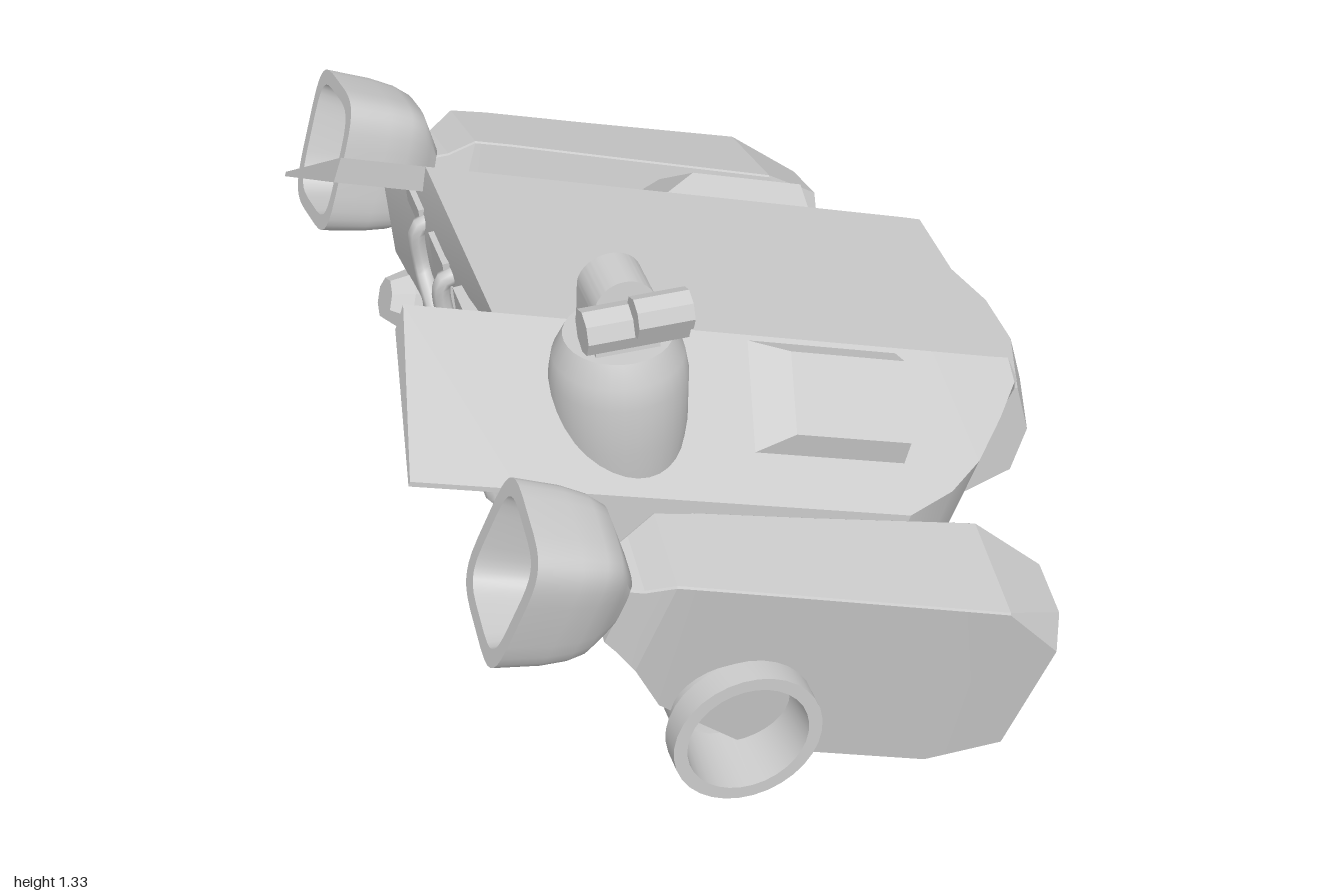
import * as THREE from 'three';
import { toCreasedNormals } from 'three/addons/utils/BufferGeometryUtils.js';

const grey = new THREE.MeshStandardMaterial({ color: 0xcccccc, side: THREE.DoubleSide });

function add(parent, name, geometry, pos = [0, 0, 0], rot = [0, 0, 0]) {
  const mesh = new THREE.Mesh(geometry, grey);
  mesh.name = name;
  mesh.position.set(...pos);
  mesh.rotation.set(...rot);
  parent.add(mesh);
}

// Skin over matching rings of [x, y, z] points, capped at both ends; winding is turned outward.
function loft(rings, crease = 0.05) {
  const tris = [];
  const n = rings[0].length;
  for (let i = 0; i < rings.length - 1; i++) {
    for (let j = 0; j < n; j++) {
      const k = (j + 1) % n;
      const a = rings[i][j], b = rings[i][k], c = rings[i + 1][k], d = rings[i + 1][j];
      tris.push([a, b, c], [a, c, d]);
    }
  }
  const first = rings[0], last = rings[rings.length - 1];
  for (let j = 1; j < n - 1; j++) {
    tris.push([first[0], first[j + 1], first[j]], [last[0], last[j], last[j + 1]]);
  }
  let volume = 0;
  for (const [a, b, c] of tris) {
    volume += a[0] * (b[1] * c[2] - b[2] * c[1]) + a[1] * (b[2] * c[0] - b[0] * c[2]) + a[2] * (b[0] * c[1] - b[1] * c[0]);
  }
  if (volume < 0) tris.forEach((t) => t.reverse());
  const g = new THREE.BufferGeometry();
  g.setAttribute('position', new THREE.Float32BufferAttribute(tris.flat(2), 3));
  return toCreasedNormals(g, crease);
}

// Box-like ring across the x axis with cut upper corners
function boxRing(x, top, bottom, half, cut = 0.004) {
  const side = [[x, top, half - cut], [x, top - cut, half], [x, bottom, half]];
  return [...side, ...side.map(([a, b, c]) => [a, b, -c]).reverse()];
}

// Rounded-square ring across the x axis
function softRect(x, cy, hy, hz) {
  const ring = [];
  for (let i = 0; i < 32; i++) {
    const a = ((i + 0.5) / 32) * Math.PI * 2;
    const p = (t) => Math.sign(t) * Math.pow(Math.abs(t), 0.45);
    ring.push([x, cy + hy * p(Math.sin(a)), hz * p(Math.cos(a))]);
  }
  return ring;
}

function lathe(points, segments, crease = 0.6) {
  const g = new THREE.LatheGeometry(points.map((p) => new THREE.Vector2(...p)), segments);
  return toCreasedNormals(g, crease);
}

function addHull(body) {
  // Half sections: top edge, shoulder on the sloping plane, side, underside
  const shoulder = (x, z) => [x, 0.45 - 0.752 * (z - 0.29), z];
  const halves = [
    [[-0.7, 0.45, 0.29], shoulder(-0.66, 0.6), [-0.58, 0.03, 0.6], [-0.49, -0.06, 0.37]],
    [[0.27, 0.45, 0.29], shoulder(0.27, 0.6), [0.27, 0.03, 0.6], [0.27, -0.07, 0.38]],
    [[0.36, 0.45, 0.29], shoulder(0.38, 0.55), [0.37, 0.03, 0.55], [0.36, -0.07, 0.37]],
    [[0.44, 0.45, 0.29], shoulder(0.455, 0.49), [0.45, 0.02, 0.47], [0.42, -0.055, 0.35]],
    [[0.51, 0.45, 0.29], shoulder(0.52, 0.405), [0.51, 0.02, 0.38], [0.46, -0.03, 0.31]],
    [[0.555, 0.45, 0.288], shoulder(0.565, 0.335), [0.545, 0.02, 0.32], [0.5, -0.01, 0.28]],
    [[0.6, 0.394, 0.288], [0.602, 0.37, 0.29], [0.56, 0.03, 0.28], [0.55, 0.015, 0.25]],
  ];
  add(body, 'hull', loft(halves.map((h) => [...h, ...h.map(([x, y, z]) => [x, y, -z]).reverse()]), 0.42));

  // Belly slab with a sloping front
  const slab = [[-0.5, -0.03], [-0.45, -0.15], [0.35, -0.15], [0.42, -0.08], [0.42, -0.03]];
  add(body, 'bellySlab', loft([-0.37, 0.37].map((z) => slab.map(([x, y]) => [x, y, z]))));

  // Faceted nose window bulging forward in the middle
  const nose = [[0.56, 0.37], [0.68, 0.371], [0.747, 0.263], [0.747, 0.127], [0.54, 0.02]];
  const slices = [[-0.29, 0.07, 0.02], [-0.08, 0, 0], [0.08, 0, 0], [0.29, 0.07, 0.02]];
  add(body, 'noseWindow', loft(slices.map(([z, back, pinch]) => nose.map(([x, y], i) =>
    [x - (i > 0 && i < 4 ? back : 0), y + (i > 2 ? pinch : 0), z]))));

  for (const s of [1, -1]) {
    // Wedge-shaped tail fins continue the sloping shoulders rearward
    const fin = [[0.45, 0.29], [0.217, 0.6], [0.205, 0.6], [0.385, 0.29]];
    const start = [-0.7, -0.66, -0.657, -0.673];
    add(body, 'tailFin', loft([fin.map(([y, z]) => [-0.9, y, s * z]), fin.map(([y, z], i) => [start[i], y, s * z])]));
    // Raised hatch on each shoulder
    const hatch = loft([
      [[-0.18, 0, -0.13], [0.19, 0, -0.13], [0.19, 0, 0.13], [-0.18, 0, 0.13]],
      [[-0.1, 0.06, -0.09], [0.18, 0.06, -0.09], [0.18, 0.06, 0.1], [-0.1, 0.06, 0.1]],
    ]);
    add(body, 'shoulderHatch', hatch, [0.075, 0.363, s * 0.4], [s * 0.645, 0, 0]);
    // Long eight-sided gun under each side
    add(body, 'sideGun', lathe([[0, -0.6], [0.05, -0.6], [0.075, -0.55], [0.075, -0.5], [0.115, -0.5], [0.115, -0.36],
      [0.09, -0.34], [0.09, 0.38], [0.1, 0.4], [0.1, 0.43], [0.05, 0.5], [0, 0.5]], 8, 0.2),
    [0, -0.06, s * 0.53], [0, 0, -Math.PI / 2]);
    // Downward thruster at the rear
    add(body, 'rearThruster', lathe([[0, -0.32], [0.045, -0.32], [0.075, -0.25], [0.075, -0.18], [0.055, -0.16], [0.055, 0]], 8, 0.2),
      [-0.385, 0, s * 0.24]);
  }
}

// Pipes and panels on the rear wall; -x points away from the wall
function addRearWall(body) {
  const wall = new THREE.Group();
  wall.name = 'rearMachinery';
  wall.position.set(-0.575, 0.15, 0);
  wall.rotation.z = 0.395;
  body.add(wall);
  for (const z of [-0.33, -0.11, 0.11, 0.33]) {
    add(wall, 'rearPanel', new THREE.BoxGeometry(0.04, 0.22, 0.13), [-0.015, 0.12, z]);
    add(wall, 'rearVent', new THREE.BoxGeometry(0.05, 0.13, 0.09), [-0.015, -0.17, z]);
  }
  add(wall, 'rearRail', new THREE.BoxGeometry(0.05, 0.04, 0.8), [-0.01, -0.04, 0]);
  for (const z of [-0.26, -0.04, 0.18]) {
    const path = new THREE.CatmullRomCurve3([[0, 0.2, 0], [-0.04, 0.19, 0], [-0.045, 0.08, 0], [-0.045, 0, 0.08],
      [-0.045, -0.08, 0.08], [-0.04, -0.2, 0.08], [0.02, -0.22, 0.08]].map((p) => new THREE.Vector3(...p)));
    add(wall, 'rearPipe', new THREE.TubeGeometry(path, 28, 0.021, 8), [0, 0, z]);
  }
}

function addPod(body, s) {
  const pod = new THREE.Group();
  pod.name = 'enginePod';
  pod.position.z = s * 0.79;
  pod.rotation.x = s * 0.175;
  body.add(pod);
  // Casing with a recessed vent in its front end
  add(pod, 'podCasing', loft([
    boxRing(-0.485, 0.2, 0.04, 0.065), boxRing(-0.46, 0.215, 0.03, 0.08), boxRing(-0.41, 0.262, 0, 0.105),
    boxRing(-0.32, 0.265, -0.1, 0.11), boxRing(-0.05, 0.265, -0.218, 0.118), boxRing(0.36, 0.267, -0.218, 0.133),
    boxRing(0.525, 0.213, -0.152, 0.13, 0.06), boxRing(0.525, 0.15, -0.12, 0.08), boxRing(0.49, 0.15, -0.12, 0.08),
  ], 0.16));
  // Rounded intake, open to the rear
  add(pod, 'intake', loft([
    softRect(-0.48, 0.145, 0.07, 0.065), softRect(-0.51, 0.15, 0.11, 0.09), softRect(-0.54, 0.16, 0.145, 0.114),
    softRect(-0.58, 0.162, 0.158, 0.13), softRect(-0.64, 0.163, 0.167, 0.142), softRect(-0.742, 0.163, 0.174, 0.15),
    softRect(-0.742, 0.163, 0.142, 0.118), softRect(-0.62, 0.163, 0.12, 0.098),
  ], 0.7));
  // Hollow side nozzle running straight through the pod
  add(body, 'sideNozzle', lathe([[0, 0.55], [0.135, 0.55], [0.135, 0.94], [0.165, 0.94], [0.165, 1], [0.135, 1],
    [0.12, 0.84], [0, 0.8]], 32), [-0.156, -0.103, 0], [s * Math.PI / 2, 0, 0]);
}

function addTurret(root) {
  const turret = new THREE.Group();
  turret.name = 'turret';
  turret.position.set(-0.29, 0, 0.43);
  root.add(turret);
  add(turret, 'turretBase', lathe([[0, 0.8], [0.13, 0.8], [0.147, 0.92], [0.15, 1.04], [0.142, 1.09], [0.118, 1.14], [0, 1.14]], 32));
  // Arched bracket, thinner toward the top
  const arch = new THREE.Shape();
  arch.moveTo(-0.07, 1.13);
  arch.lineTo(0.07, 1.13);
  arch.lineTo(0.07, 1.23);
  arch.absarc(0, 1.235, 0.07, 0, Math.PI, false);
  const bracket = new THREE.ExtrudeGeometry(arch, { depth: 0.155, bevelEnabled: false, curveSegments: 16 });
  bracket.translate(0, 0, -0.0775);
  const p = bracket.attributes.position;
  for (let i = 0; i < p.count; i++) p.setZ(i, p.getZ(i) * (1 - (p.getY(i) - 1.13) * 1.7));
  add(turret, 'turretBracket', toCreasedNormals(bracket, 0.5));
  // Paired eight-sided barrels beside the bracket
  for (const [name, r, length, x, y, z] of [['turretBarrel', 0.05, 0.22, 0, 1.243, 0.115], ['turretSight', 0.045, 0.12, 0.05, 1.283, 0.15]]) {
    add(turret, name, toCreasedNormals(new THREE.CylinderGeometry(r, r, length, 8), 0.2), [x, y, z], [0, 0, Math.PI / 2]);
  }
}

export function createModel() {
  const root = new THREE.Group();
  root.name = 'hoverCraft';
  // Craft pitched nose-down
  const body = new THREE.Group();
  body.name = 'body';
  body.position.y = 0.5;
  body.rotation.z = -Math.PI / 10;
  root.add(body);
  addHull(body);
  addRearWall(body);
  addPod(body, 1);
  addPod(body, -1);
  addTurret(root);
  add(root, 'bellyBall', new THREE.SphereGeometry(0.226, 40, 28), [-0.067, 0.226, 0]);
  return root;
}
